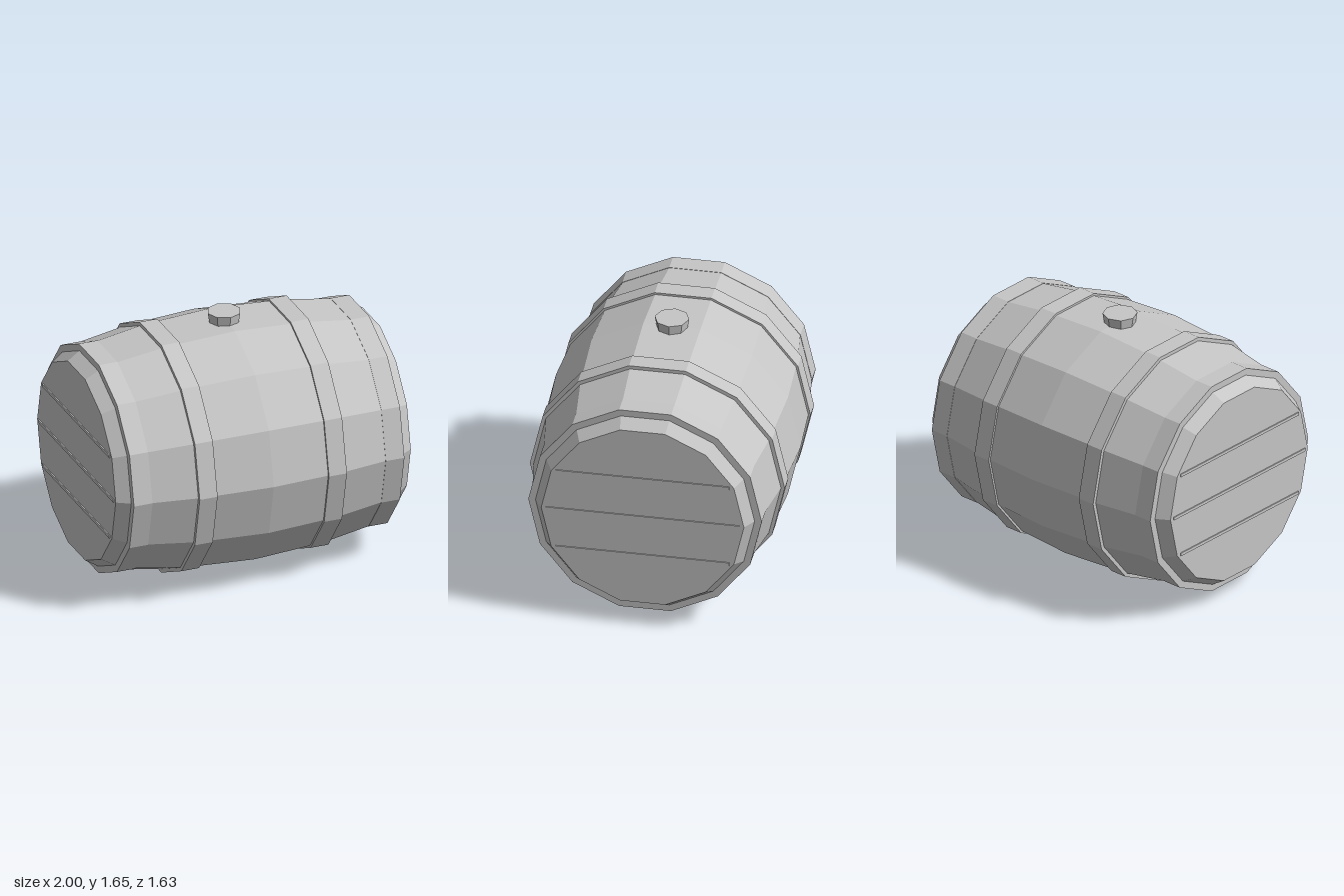
import * as THREE from 'three';

const SIDES = 14;
const CENTER_Y = 0.8;

// Faceted shading: every face keeps its own normal
function faceted(geometry) {
  const g = geometry.index ? geometry.toNonIndexed() : geometry;
  g.computeVertexNormals();
  return g;
}

// Revolve [x, radius] points about the x axis
function revolve(profile) {
  const points = profile.map(([x, r]) => new THREE.Vector2(r, x));
  return faceted(new THREE.LatheGeometry(points, SIDES).rotateZ(-Math.PI / 2));
}

export function createModel() {
  const model = new THREE.Group();
  model.name = 'barrel';
  const grey = new THREE.MeshStandardMaterial({ color: 0xc6c6c6 });
  grey.name = 'plain grey';

  function add(name, geometry, x = 0, y = CENTER_Y, z = 0) {
    const mesh = new THREE.Mesh(geometry, grey);
    mesh.name = name;
    mesh.position.set(x, y, z);
    model.add(mesh);
  }

  // Bulging staves with chamfered ends
  const half = [[0, 0.815], [0.375, 0.793], [0.495, 0.783], [0.79, 0.736], [0.91, 0.694], [0.993, 0.642]];
  const mirrored = half.slice(1).reverse().map(([x, r]) => [-x, r]);
  add('staves', revolve([...mirrored, ...half]));

  for (const side of [-1, 1]) {
    const end = side > 0 ? 'left' : 'right';

    // Flat hoops: [inner x, outer x, outer radius, radius hidden in the staves]
    const hoops = { middleHoop: [0.375, 0.495, 0.807, 0.77], endHoop: [0.785, 0.91, 0.739, 0.68] };
    for (const [name, [x0, x1, outer, inner]] of Object.entries(hoops)) {
      const h = (x1 - x0) / 2;
      add(`${end} ${name}`, revolve([[-h, inner], [-h, outer], [h, outer], [h, inner]]), side * (x0 + x1) / 2);
    }

    // Flat head with three thin battens
    add(`${end} head`, faceted(new THREE.CircleGeometry(0.642, SIDES).rotateY(side * Math.PI / 2)), side * 0.993);
    for (const [dy, length] of [[-0.278, 1.1], [0, 1.23], [0.278, 1.1]]) {
      add(`${end} headBatten`, new THREE.BoxGeometry(0.02, 0.02, length), side * 0.99, CENTER_Y + dy);
    }
  }

  // Tapered bung on top
  add('bung', faceted(new THREE.CylinderGeometry(0.109, 0.097, 0.075, 8)), 0, 1.6175);

  return model;
}
